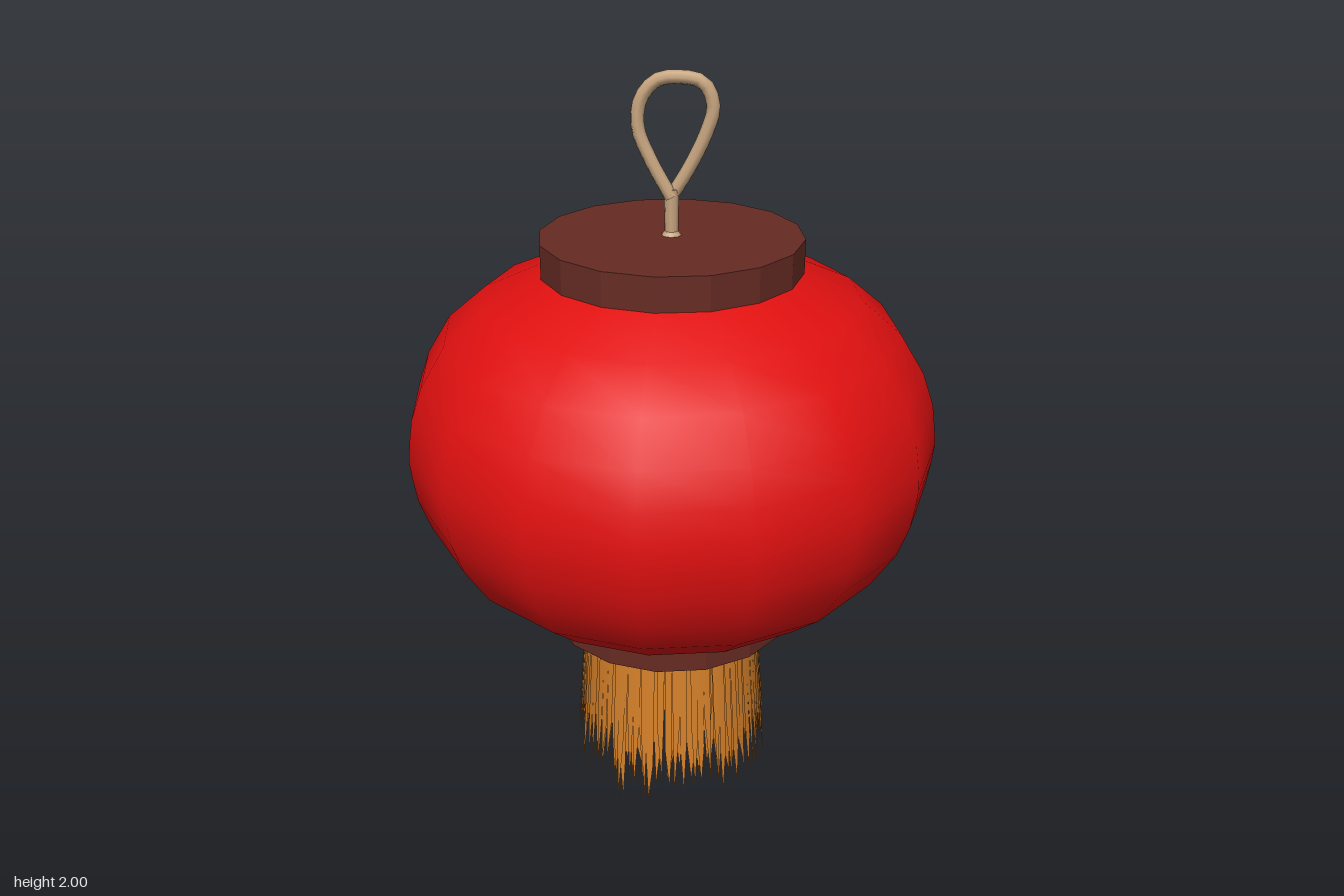
import * as THREE from 'three';
import { toCreasedNormals } from 'three/addons/utils/BufferGeometryUtils.js';

const material = (name, color, side = THREE.FrontSide) => {
  const m = new THREE.MeshStandardMaterial({ color, side });
  m.name = name;
  return m;
};

// Small seeded generator for the uneven strands
function seeded(seed) {
  return () => (seed = (seed * 16807) % 2147483647) / 2147483647;
}

// One ring of tapering strands, hung in a slightly flared cylinder
function strandRing(count, topRadius, bottomRadius, width, minTip, maxTip, random) {
  const pos = [], normal = [], index = [];
  const topY = 0.51;
  for (let i = 0; i < count; i++) {
    const angle = ((i + (random() - 0.5) * 0.5) / count) * Math.PI * 2;
    const tip = minTip + (maxTip - minTip) * random();
    const shoulder = tip + 0.1 + 0.12 * random();
    const half = (width * Math.PI) / count;
    const lean = (random() - 0.5) * half;
    const wobble = (random() - 0.5) * 0.012;
    const base = pos.length / 3;
    const add = (a, y) => {
      const t = (topY - y) / topY;
      const r = topRadius + (bottomRadius - topRadius) * t + wobble * t;
      pos.push(Math.sin(a) * r, y, Math.cos(a) * r);
      normal.push(Math.sin(a), 0, Math.cos(a));
    };
    add(angle - half, topY);
    add(angle + half, topY);
    add(angle - half * 0.85, shoulder);
    add(angle + half * 0.85, shoulder);
    add(angle + lean, tip);
    index.push(0 + base, 2 + base, 1 + base, 1 + base, 2 + base, 3 + base, 2 + base, 4 + base, 3 + base);
  }
  const g = new THREE.BufferGeometry();
  g.setAttribute('position', new THREE.Float32BufferAttribute(pos, 3));
  g.setAttribute('normal', new THREE.Float32BufferAttribute(normal, 3));
  g.setIndex(index);
  return g;
}

export function createModel() {
  const lantern = new THREE.Group();
  lantern.name = 'paperLantern';
  const red = material('red paper', 0xe01010);
  const brown = material('dark brown wood', 0x662b23);
  const orange = material('orange straw', 0xd9832b, THREE.DoubleSide);
  const tan = material('tan cord', 0xc8a680);

  const add = (name, geometry, mat, y = 0) => {
    const mesh = new THREE.Mesh(geometry, mat);
    mesh.name = name;
    mesh.position.y = y;
    lantern.add(mesh);
    return mesh;
  };

  // Bulging shade, mirrored above and below its middle
  const half = [[0.695, 0.05], [0.685, 0.115], [0.655, 0.2], [0.59, 0.305], [0.49, 0.39], [0.335, 0.46]];
  const middle = 1.045;
  const profile = [
    ...half.slice().reverse().map(([r, h]) => new THREE.Vector2(r, middle - h)),
    new THREE.Vector2(0.7, middle),
    ...half.map(([r, h]) => new THREE.Vector2(r, middle + h)),
  ];
  add('shade', new THREE.LatheGeometry(profile, 16), red);

  // Faceted discs closing both ends
  const disc = toCreasedNormals(new THREE.CylinderGeometry(0.338, 0.338, 0.092, 16), 0.3);
  add('topCap', disc, brown, 1.546);
  add('bottomCap', disc, brown, 0.546);

  // Hollow fringe: layered rings of pointed strands
  const random = seeded(4711);
  [
    [44, 0.232, 0.262, 1.25, 0.08, 0.15],
    [60, 0.238, 0.272, 1.15, 0.04, 0.13],
    [72, 0.243, 0.28, 0.95, 0.0, 0.11],
  ].forEach(([n, top, bottom, width, low, high], i) =>
    add('fringeLayer' + (i + 1), strandRing(n, top, bottom, width, low + 0.015, high, random), orange));
  // Single longest strand, reaching the lowest point
  add('longStrand', strandRing(3, 0.243, 0.278, 0.04, 0, 0.01, random), orange);

  // Hanging cord: upright stem, teardrop loop and a small base knot
  const loop = new THREE.CatmullRomCurve3(
    [[0, 1.69], [-0.05, 1.78], [-0.082, 1.86], [-0.075, 1.93], [-0.035, 1.975], [0.02, 1.983],
      [0.078, 1.97], [0.102, 1.915], [0.085, 1.85], [0.045, 1.765], [0, 1.69]]
      .map(([x, y], i) => new THREE.Vector3(x, y, 0.006 * Math.cos((i / 10) * Math.PI))));
  add('cordLoop', new THREE.TubeGeometry(loop, 30, 0.017, 8), tan);
  add('cordStem', new THREE.CylinderGeometry(0.019, 0.017, 0.13, 8), tan, 1.645);
  add('cordKnot', new THREE.CylinderGeometry(0.017, 0.026, 0.012, 8), tan, 1.597);

  return lantern;
}
